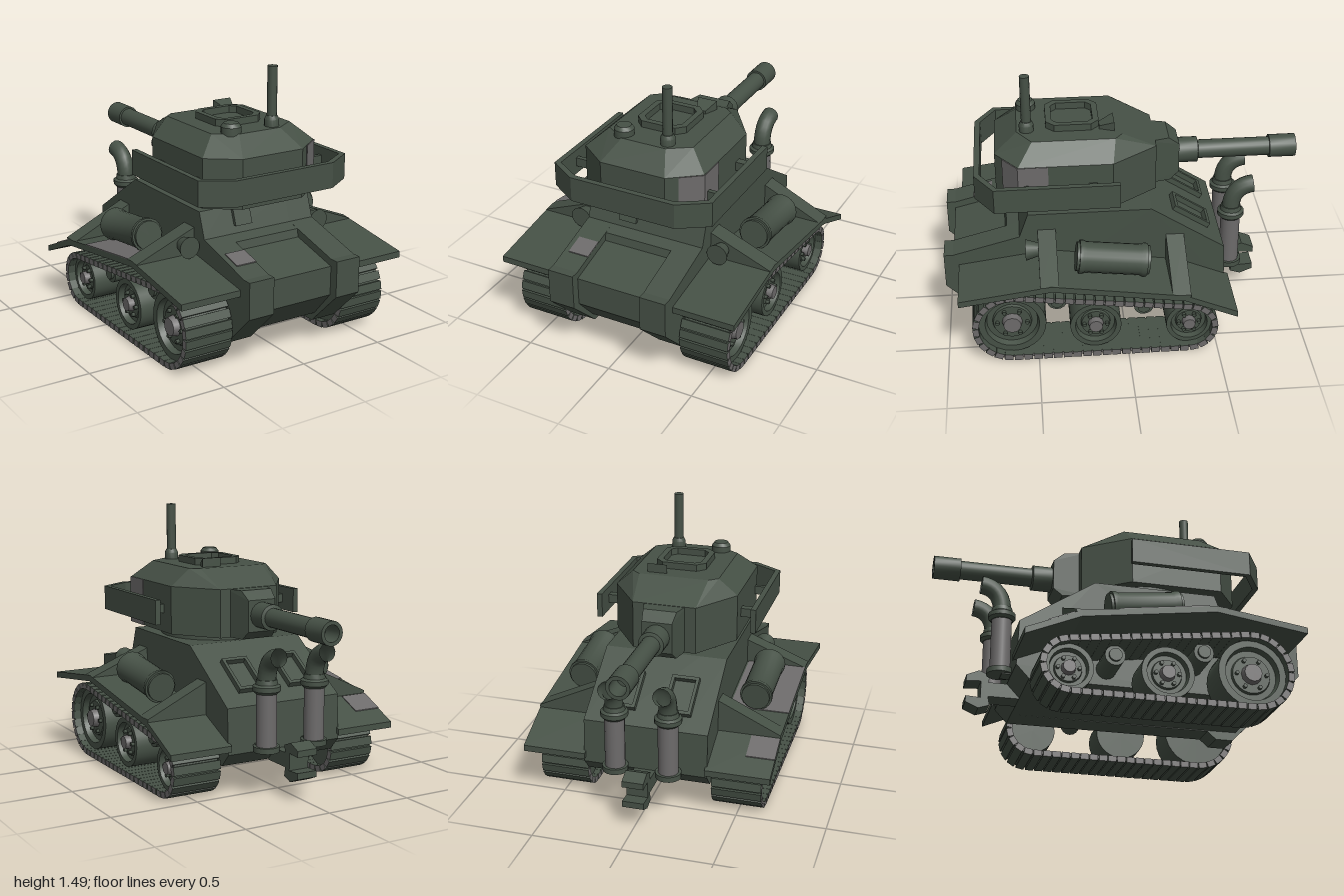
import * as THREE from 'three';
import { toCreasedNormals } from 'three/addons/utils/BufferGeometryUtils.js';
import { ConvexGeometry } from 'three/addons/geometries/ConvexGeometry.js';

const paint = (name, color) => {
  const m = new THREE.MeshStandardMaterial({ color, side: THREE.DoubleSide });
  m.name = name;
  return m;
};

export function createModel() {
  const green = paint('armour green', 0x465146);
  const grey = paint('bare metal grey', 0x6d6b6b);
  const model = new THREE.Group();
  model.name = 'tank';

  const add = (name, geo, mat = green, x = 0, y = 0, z = 0, parent = model) => {
    const m = new THREE.Mesh(geo, mat);
    m.name = name;
    m.position.set(x, y, z);
    parent.add(m);
    return m;
  };
  const shapeOf = pts => new THREE.Shape(pts.map(p => new THREE.Vector2(p[0], p[1])));
  const extrude = (shape, depth) => new THREE.ExtrudeGeometry(shape, { depth, bevelEnabled: false, curveSegments: 14 });
  // Side profile in [z, y], spanning x0 to x1
  const across = (shape, x0, x1) => extrude(shape, x1 - x0).rotateY(-Math.PI / 2).translate(x1, 0, 0);
  // Plan outline in [x, z], rising from y0 to y1
  const rise = (pts, y0, y1) => extrude(shapeOf(pts.map(([x, z]) => [x, -z])), y1 - y0).rotateX(-Math.PI / 2).translate(0, y0, 0);
  const lathe = (pts, seg = 20) => toCreasedNormals(new THREE.LatheGeometry(pts.map(p => new THREE.Vector2(p[0], p[1])), seg), 0.6);
  const cyl = (rt, rb, h, seg = 16) => new THREE.CylinderGeometry(rt, rb, h, seg);
  const mirrored = pts => [...pts, ...pts.map(([x, z]) => [-x, z]).reverse()];

  // Hull: recessed centre between two thicker side walls
  const rear = [[0.53, 0.77], [-0.15, 0.77], [-0.56, 0.5], [-0.57, 0.25], [-0.5, 0.175]];
  add('hullCentre', across(shapeOf([[0.82, 0.18], [0.95, 0.33], [0.95, 0.49], [0.66, 0.565], [0.65, 0.61], [0.58, 0.63], ...rear]), -0.2, 0.2));
  const wall = shapeOf([[0.65, 0.175], [0.7, 0.13], [0.8, 0.13], [1, 0.33], [1, 0.53], [0.95, 0.53], [0.58, 0.63], ...rear]);
  add('hullWallLeft', across(wall, 0.2, 0.35));
  add('hullWallRight', across(wall, -0.35, -0.2));
  add('visionBlock', across(shapeOf([[0.5, 0.77], [0.55, 0.77], [0.585, 0.67], [0.54, 0.67]]), -0.155, -0.05));
  add('hullPatch', across(shapeOf([[0.73, 0.59], [0.84, 0.56], [0.84, 0.565], [0.73, 0.595]]), -0.32, -0.2), grey);

  // Rear deck hatches
  for (const s of [1, -1]) {
    const frame = shapeOf([[-0.078, -0.12], [0.078, -0.12], [0.078, 0.12], [-0.078, 0.12]]);
    frame.holes.push(new THREE.Path([[-0.06, -0.1], [-0.06, 0.1], [0.06, 0.1], [0.06, -0.1]].map(p => new THREE.Vector2(...p))));
    const hatch = add('deckHatchFrame', extrude(frame, 0.03), green, s * 0.157, 0.62, -0.38);
    hatch.rotation.x = -Math.PI / 2 - 0.582;
  }

  // Track loop around the front and rear wheel
  const tilt = 2 * Math.atan2(0.06, 0.98);
  const loop = inset => {
    const p = new THREE.Shape();
    p.absarc(0.64, 0.22, 0.22 - inset, -Math.PI / 2, Math.PI / 2 + tilt, false);
    p.absarc(-0.34, 0.16, 0.16 - inset, Math.PI / 2 + tilt, Math.PI * 1.5, false);
    p.closePath();
    return p;
  };
  const shoeGeo = new THREE.BoxGeometry(0.28, 0.034, 0.047);
  const shoeMats = [grey, grey, green, green, green, green];
  const stops = loop(0.018).getSpacedPoints(56);
  const beltShape = loop(0.014);
  beltShape.holes.push(loop(0.034));

  const wheels = [['frontWheel', 0.64, 0.22, 0.187], ['middleWheel', 0.18, 0.18, 0.142], ['rearWheel', -0.34, 0.16, 0.128]];
  const fenderTop = [[0.92, 0.465], [0.42, 0.535], [-0.3, 0.43], [-0.59, 0.305]];
  const fenderShape = shapeOf([...fenderTop, ...fenderTop.map(([z, y]) => [z, y - 0.035]).reverse()]);

  for (const s of [1, -1]) {
    const side = new THREE.Group();
    side.name = s > 0 ? 'leftRunningGear' : 'rightRunningGear';
    model.add(side);
    const put = (name, geo, mat, x, y, z) => add(name, geo, mat, x, y, z, side);
    const span = (shape, a, b) => s > 0 ? across(shape, a, b) : across(shape, -b, -a);

    put('trackBelt', span(beltShape, 0.365, 0.625), [grey, green]);
    for (let i = 0; i < stops.length - 1; i++) {
      const a = stops[i], b = stops[i + 1];
      if (a.distanceTo(b) < 0.02) continue;
      const shoe = put('trackShoe', shoeGeo, shoeMats, s * 0.495, (a.y + b.y) / 2, (a.x + b.x) / 2);
      shoe.rotation.x = Math.atan2(a.y - b.y, b.x - a.x);
    }

    // Dished wheels with hub and bolts
    for (const [name, z, y, r] of wheels) {
      const w = 0.1;
      const disc = lathe([[0, -w], [r, -w], [r, w], [r * 0.8, w], [r * 0.75, w - 0.035], [r * 0.58, w - 0.035], [r * 0.55, w - 0.02], [0, w - 0.02]], 28);
      put(name, disc.rotateZ(-s * Math.PI / 2), green, s * 0.49, y, z);
      put(name + 'Hub', cyl(r * 0.26, r * 0.32, 0.05, 12).rotateZ(-s * Math.PI / 2), grey, s * 0.58, y, z);
      for (let k = 0; k < 6; k++) {
        const t = k * Math.PI / 3;
        put(name + 'Bolt', cyl(0.011, 0.011, 0.03, 6).rotateZ(Math.PI / 2), green, s * 0.575, y + r * 0.44 * Math.sin(t), z + r * 0.44 * Math.cos(t));
      }
    }
    for (const [z, y] of [[0.39, 0.33], [-0.09, 0.265]]) {
      put('returnRoller', cyl(0.055, 0.055, 0.2).rotateZ(Math.PI / 2), green, s * 0.45, y, z);
      put('returnRollerCap', cyl(0.035, 0.035, 0.02).rotateZ(Math.PI / 2), green, s * 0.555, y, z);
    }

    // Fender with wedge brackets
    put('fender', span(fenderShape, 0.34, 0.7));
    for (const [z, low, high] of [[0.38, 0.515, 0.67], [-0.33, 0.42, 0.6]])
      put('fenderBracket', extrude(shapeOf([[s * 0.35, low], [s * 0.7, low], [s * 0.7, low + 0.015], [s * 0.35, high]]), 0.1), green, 0, 0, z);

    // Drum on the fender and headlight
    const drum = lathe([[0, -0.2], [0.08, -0.2], [0.08, -0.185], [0.092, -0.185], [0.092, -0.165], [0.085, -0.15], [0.085, 0.15],
      [0.092, 0.165], [0.092, 0.185], [0.08, 0.185], [0.08, 0.2], [0, 0.2]]);
    put('fuelDrum', drum.rotateX(Math.PI / 2 - 0.12), green, s * 0.51, 0.57, 0.08);
    put('headlight', cyl(0.06, 0.035, 0.08).rotateX(Math.PI / 2), green, s * 0.42, 0.59, 0.51);

    // Exhaust stack
    const ex = s * 0.15;
    put('exhaustFoot', cyl(0.072, 0.072, 0.03), green, ex, 0.275, -0.625);
    put('exhaustBracket', new THREE.BoxGeometry(0.08, 0.04, 0.1), green, ex, 0.275, -0.57);
    put('exhaustPipe', cyl(0.056, 0.056, 0.3), grey, ex, 0.435, -0.625);
    put('exhaustCollar', lathe([[0, 0.575], [0.06, 0.575], [0.075, 0.59], [0.075, 0.615], [0.06, 0.625], [0.055, 0.65], [0, 0.65]]), green, ex, 0, -0.625);
    const bend = new THREE.QuadraticBezierCurve3(new THREE.Vector3(0, 0.63, -0.625), new THREE.Vector3(0, 0.77, -0.625), new THREE.Vector3(0, 0.783, -0.745));
    put('exhaustElbow', new THREE.TubeGeometry(bend, 8, 0.05, 14), green, ex);
  }

  // Bare patches on the right fender
  const patch = (z0, y0, z1, y1) => shapeOf([[z0, y0], [z1, y1], [z1, y1 + 0.005], [z0, y0 + 0.005]]);
  add('fenderPatchMiddle', across(patch(0.38, 0.529, -0.1, 0.459), -0.7, -0.36), grey);
  add('fenderPatchRear', across(patch(-0.335, 0.415, -0.47, 0.357), -0.7, -0.54), grey);

  // Tow hitch
  add('towHitch', across(shapeOf([[-0.5, 0.17], [-0.67, 0.17], [-0.66, 0.12], [-0.72, 0.1], [-0.79, 0.13], [-0.79, 0.165], [-0.71, 0.16],
    [-0.71, 0.255], [-0.79, 0.25], [-0.79, 0.285], [-0.72, 0.315], [-0.66, 0.29], [-0.67, 0.25], [-0.5, 0.25]]), -0.06, 0.06));

  // Turret
  const turret = new THREE.Group();
  turret.name = 'turret';
  model.add(turret);
  const top = (name, geo, mat, x, y, z) => add(name, geo, mat, x, y, z, turret);
  const hull = layers => new ConvexGeometry(layers.flatMap(([y, pts]) => mirrored(pts).map(([x, z]) => new THREE.Vector3(x, y, z))));
  const outline = [[0.18, -0.19], [0.355, 0.06], [0.355, 0.57], [0.19, 0.695]];
  top('turretRing', cyl(0.315, 0.315, 0.05, 28), green, 0, 0.785, 0.19);
  top('turretBody', hull([[0.8, outline], [1.07, outline], [1.167, [[0.2, 0], [0.25, 0.04], [0.25, 0.49], [0.13, 0.57]]]]));
  top('gunMantlet', hull([[0.8, [[0.125, -0.15], [0.095, -0.28]]], [0.845, [[0.085, -0.33]]], [1.02, [[0.085, -0.33]]], [1.068, [[0.125, -0.15], [0.095, -0.27]]]]));
  top('turretPatch', rise([[0.355, 0.41], [0.359, 0.41], [0.359, 0.573], [0.25, 0.656], [0.25, 0.64], [0.355, 0.565]], 0.801, 1.069), grey);

  // Gun with hollow muzzle
  top('gunBarrel', lathe([[0, 0.3], [0.072, 0.3], [0.072, 0.44], [0.053, 0.445], [0.053, 0.85], [0.065, 0.85], [0.065, 1],
    [0.045, 1], [0.045, 0.88], [0, 0.88]]).rotateX(-Math.PI / 2), green, 0, 0.936, 0);

  // Wrap-around armour rail and its struts
  const rail = [[0.468, 0.03], [0.468, 0.705], [0.305, 0.81]];
  const railInner = [[0.437, 0.03], [0.437, 0.69], [0.295, 0.778]];
  const flip = pts => pts.map(([x, z]) => [-x, z]);
  top('turretRail', rise([...rail, ...flip(rail).reverse(), ...flip(railInner), ...railInner.slice().reverse()], 0.865, 1.005));
  for (const s of [1, -1])
    for (const [z, d] of [[0.17, 0.045], [0.53, 0.025]])
      top('railStrut', new THREE.BoxGeometry(0.11, 0.05, d), green, s * 0.395, 0.935, z);

  // Roof hatch, periscope, dome and antenna
  const octagon = (h, c) => [[-h + c, -h], [h - c, -h], [h, -h + c], [h, h - c], [h - c, h], [-h + c, h], [-h, h - c], [-h, -h + c]];
  const ring = shapeOf(octagon(0.145, 0.045));
  ring.holes.push(new THREE.Path(octagon(0.112, 0.03).reverse().map(p => new THREE.Vector2(...p))));
  top('hatchRim', extrude(ring, 0.045).rotateX(-Math.PI / 2), green, 0, 1.16, 0.265);
  top('periscope', new ConvexGeometry([[0.05, 1.16, 0.04], [0.165, 1.16, 0.04], [0.05, 1.218, 0.04], [0.165, 1.218, 0.04],
    [0.08, 1.16, 0.12], [0.135, 1.16, 0.12], [0.08, 1.185, 0.12], [0.135, 1.185, 0.12]].map(p => new THREE.Vector3(...p))));
  top('roofDome', lathe([[0.055, 1.15], [0.055, 1.2], [0.04, 1.22], [0, 1.22]], 14), green, -0.145, 0, 0.515);
  top('antennaBase', lathe([[0.04, 1.15], [0.04, 1.205], [0.03, 1.225], [0, 1.225]], 14), green, 0.115, 0, 0.515);
  top('antennaRod', cyl(0.027, 0.027, 0.29, 12), green, 0.115, 1.348, 0.515);

  return model;
}
